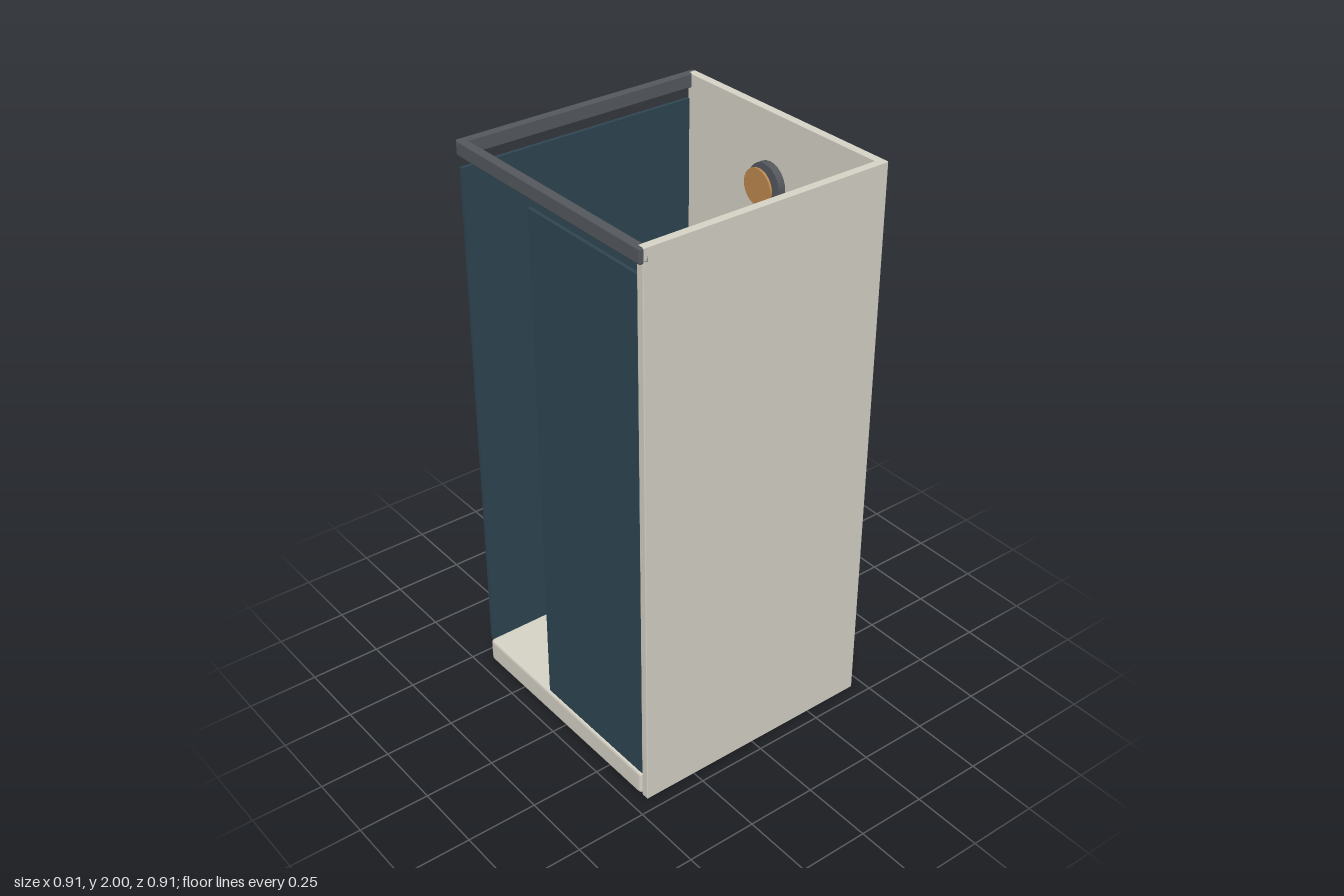
import * as THREE from 'three';
import { RoundedBoxGeometry } from 'three/addons/geometries/RoundedBoxGeometry.js';

const mat = (color) => new THREE.MeshStandardMaterial({ color });

export function createModel() {
  const group = new THREE.Group();
  const wallMat = mat(0xd8d4c8);
  const metalMat = mat(0x55595e);
  const glassMat = mat(0x2f4652);
  const copperMat = mat(0xc08a50);

  const add = (name, geometry, material) => {
    const mesh = new THREE.Mesh(geometry, material);
    mesh.name = name;
    group.add(mesh);
    return mesh;
  };

  // Box given by its extents [min, max] on each axis; bevel 0 keeps it sharp
  const box = (name, x, y, z, material, bevel = 0) => {
    const size = [x, y, z].map(([a, b]) => b - a);
    const geometry = bevel
      ? new RoundedBoxGeometry(...size, 1, bevel)
      : new THREE.BoxGeometry(...size);
    const mesh = add(name, geometry, material);
    mesh.position.set(...[x, y, z].map(([a, b]) => (a + b) / 2));
    return mesh;
  };

  // Disc facing up, or facing the front when upright
  const disc = (name, radius, thickness, sides, position, material, upright) => {
    const mesh = add(name, new THREE.CylinderGeometry(radius, radius, thickness, sides), material);
    if (upright) mesh.rotation.x = Math.PI / 2;
    mesh.position.set(...position);
    return mesh;
  };

  // Tray with eased edges, and two solid walls
  box('tray', [-0.45, 0.43], [0.001, 0.095], [-0.43, 0.453], wallMat, 0.016);
  box('backWall', [-0.445, 0.455], [0, 2], [-0.457, -0.428], wallMat, 0.003);
  box('sideWall', [0.427, 0.455], [0, 2], [-0.455, 0.445], wallMat, 0.003);

  // Glass on the open side and across part of the front
  box('sideGlass', [-0.45, -0.437], [0.095, 1.912], [-0.428, 0.447], glassMat);
  box('frontGlass', [-0.09, 0.427], [0.095, 1.912], [0.434, 0.446], glassMat);

  // Top rails above the glass
  box('sideRail', [-0.457, -0.427], [1.952, 2], [-0.457, 0.452], metalMat, 0.004);
  box('frontRail', [-0.45, 0.455], [1.952, 2], [0.424, 0.456], metalMat, 0.004);

  // Fittings: round head with copper face, valve and floor drain
  disc('showerHead', 0.073, 0.026, 24, [0, 1.78, -0.388], metalMat, true);
  disc('showerHeadFace', 0.063, 0.008, 24, [0, 1.78, -0.352], copperMat, true);
  box('valve', [0.232, 0.32], [1.02, 1.18], [-0.425, -0.389], metalMat, 0.007);
  disc('drain', 0.044, 0.01, 10, [0.095, 0.099, -0.098], metalMat, false);

  return group;
}
